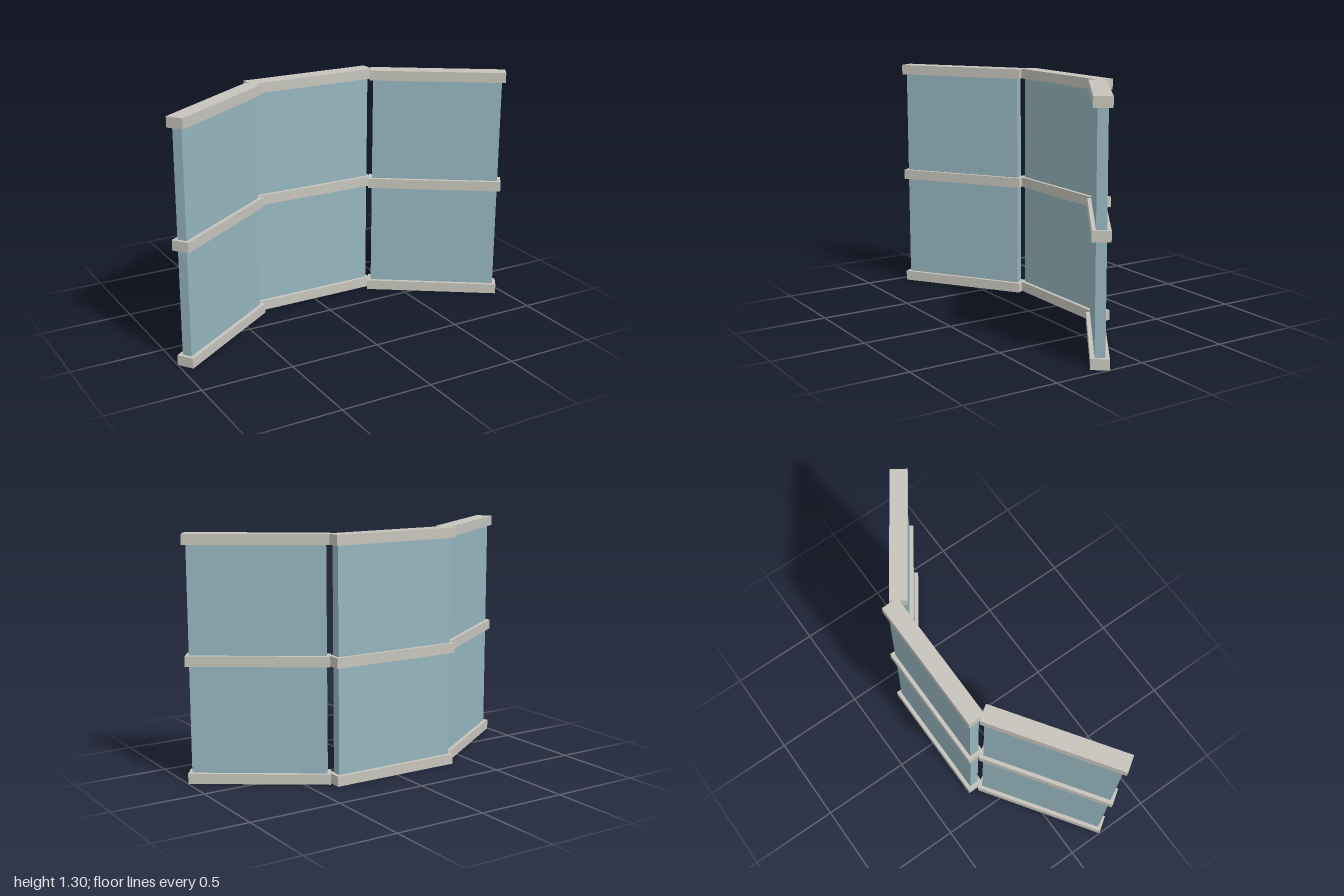
import * as THREE from 'three';

export function createModel() {
  const model = new THREE.Group();
  model.name = 'foldingScreen';

  const railMaterial = new THREE.MeshStandardMaterial({ color: 0xc6c4bc });
  railMaterial.name = 'warm grey rail';
  const glassMaterial = new THREE.MeshStandardMaterial({ color: 0x96b5be });
  glassMaterial.name = 'blue grey glass';

  const railHeight = 0.055;
  const height = 1.305;
  const railGeometry = new THREE.BoxGeometry(0.744, railHeight, 0.093);
  const paneGeometry = new THREE.BoxGeometry(0.706, height - railHeight, 0.052);

  // One straight section: a tall pane held by three rails
  function addSection(name, x, z, turn) {
    const section = new THREE.Group();
    section.name = name;

    const pane = new THREE.Mesh(paneGeometry, glassMaterial);
    pane.name = 'pane';
    pane.position.y = height / 2;
    section.add(pane);

    ['bottomRail', 'middleRail', 'topRail'].forEach((railName, i) => {
      const rail = new THREE.Mesh(railGeometry, railMaterial);
      rail.name = railName;
      rail.position.y = railHeight / 2 + (i * (height - railHeight)) / 2;
      section.add(rail);
    });

    section.position.set(x, 0, z);
    section.rotation.y = turn;
    model.add(section);
  }

  // Back section with two wings angled forward
  addSection('centreSection', 0, -0.23, 0);
  addSection('leftWing', 0.666, 0.023, -0.6);
  addSection('rightWing', -0.666, 0.023, 0.6);

  return model;
}
